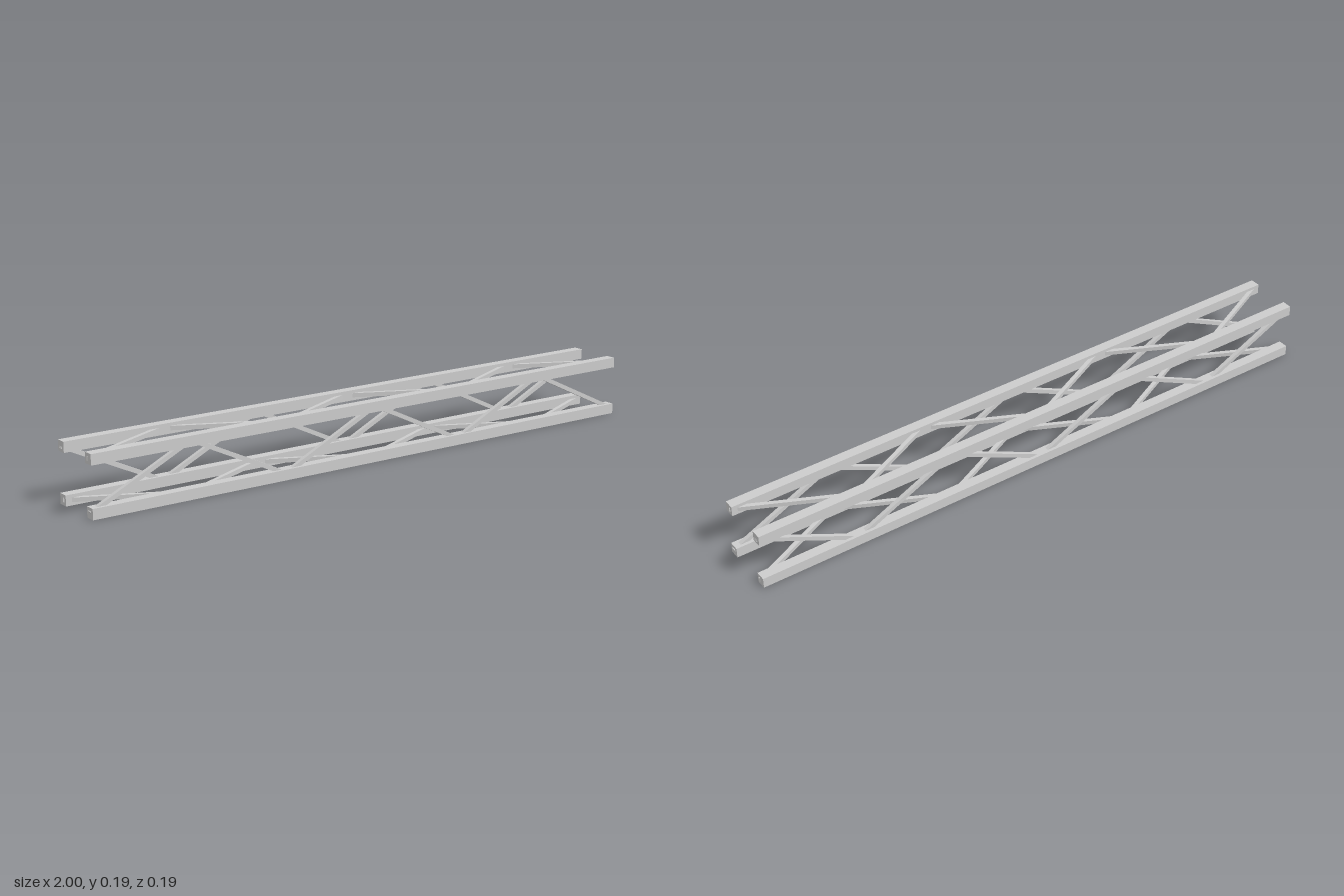
import * as THREE from 'three';

const HALF = 0.9971;   // half length of the chords
const CHORD = 0.0332;  // chord thickness
const OFFSET = 0.0798; // chord centre from the truss axis
const BRACE = 0.0133;  // brace thickness
const BAYS = 6;

export function createModel() {
  const truss = new THREE.Group();
  truss.name = 'boxTruss';
  truss.position.y = OFFSET + CHORD / 2;
  const material = new THREE.MeshStandardMaterial({ color: 0xcccccc, flatShading: true });

  // Four square corner chords
  const chordGeometry = new THREE.BoxGeometry(HALF * 2, CHORD, CHORD);
  for (const y of [-1, 1]) {
    for (const z of [-1, 1]) {
      const chord = new THREE.Mesh(chordGeometry, material);
      chord.name = `${y > 0 ? 'top' : 'bottom'}${z > 0 ? 'Front' : 'Back'}Chord`;
      chord.position.set(0, y * OFFSET, z * OFFSET);
      truss.add(chord);
    }
  }

  // One zigzag of square braces, turned about the axis onto each side
  const bay = (HALF * 2) / BAYS;
  const braceGeometry = new THREE.BoxGeometry(Math.hypot(bay, OFFSET * 2), BRACE, BRACE);
  const slope = Math.atan2(OFFSET * 2, bay);
  ['front', 'bottom', 'back', 'top'].forEach((side, k) => {
    const bracing = new THREE.Group();
    bracing.name = `${side}Bracing`;
    bracing.rotation.x = k * Math.PI / 2;
    for (let i = 0; i < BAYS; i++) {
      const brace = new THREE.Mesh(braceGeometry, material);
      brace.name = `${side}Brace${i + 1}`;
      brace.position.set(-HALF + (i + 0.5) * bay, 0, OFFSET);
      brace.rotation.z = i % 2 ? -slope : slope;
      bracing.add(brace);
    }
    truss.add(bracing);
  });

  const model = new THREE.Group();
  model.name = 'truss';
  model.add(truss);
  return model;
}
